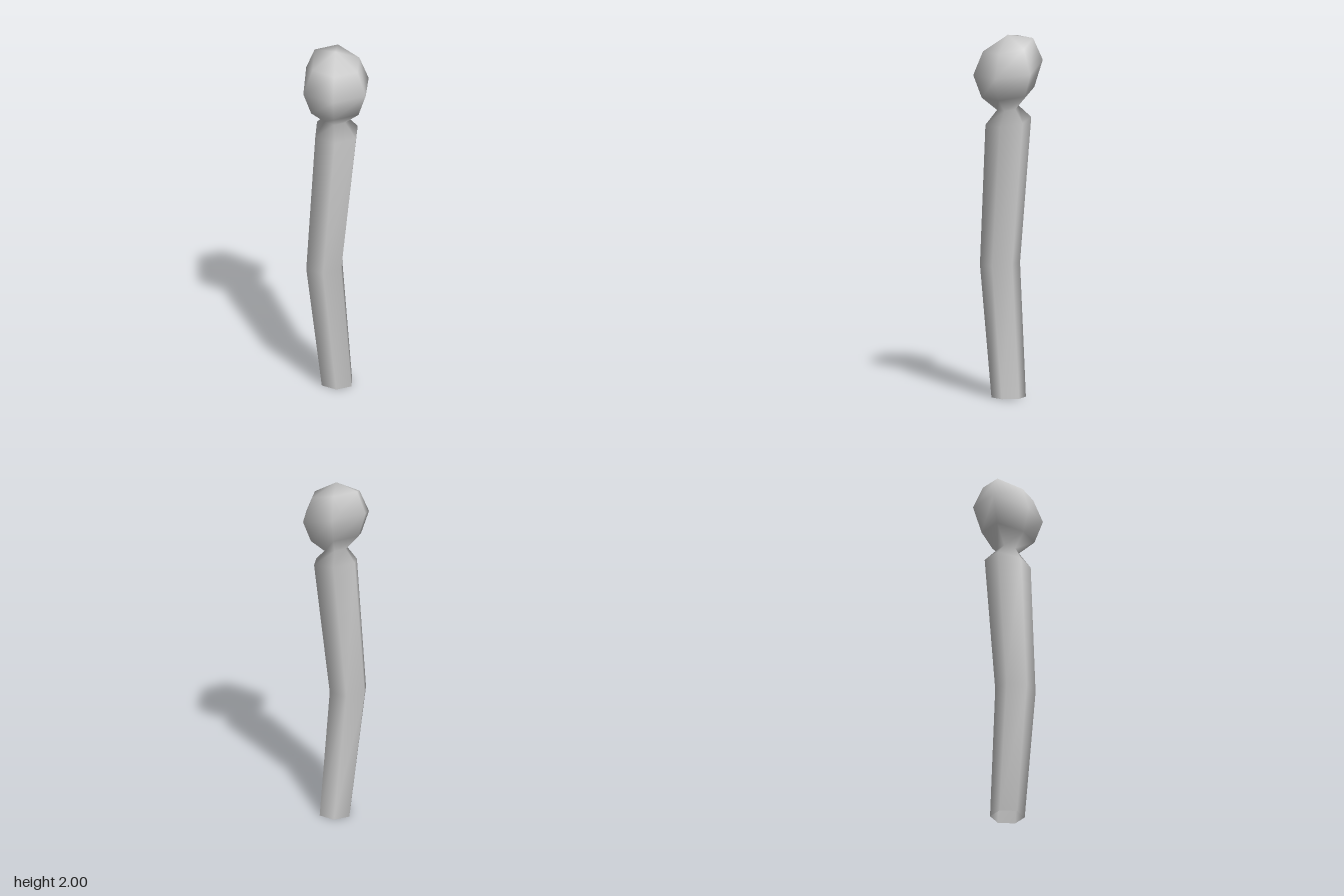
import * as THREE from 'three';

const SIDES = 6;

// Hexagonal rings from the foot up:
// [centre x, half width, half depth, y at left, y at right, y at front, y at back]
const rings = [
  [0.008, 0.093, 0.083, 0, 0, 0, 0],                    // foot
  [-0.07, 0.11, 0.096, 0.735, 0.725, 0.725, 0.735],     // bend
  [0.005, 0.13, 0.108, 1.525, 1.51, 1.505, 1.545],      // shoulder
  [0, 0.068, 0.048, 1.595, 1.592, 1.585, 1.61],         // neck
  [0.002, 0.152, 0.123, 1.675, 1.66, 1.655, 1.71],      // knob, lower
  [0.002, 0.2, 0.163, 1.8, 1.785, 1.78, 1.86],          // knob, widest
  [0.002, 0.143, 0.118, 1.935, 1.92, 1.91, 1.98],       // knob, upper
];

export function createModel() {
  const positions = [];
  const index = [];

  for (const [cx, halfW, halfD, yLeft, yRight, yFront, yBack] of rings) {
    const heights = [yLeft, yFront, yFront, yRight, yBack, yBack];
    for (let i = 0; i < SIDES; i++) {
      const a = (i / SIDES) * Math.PI * 2;
      const z = (Math.sin(a) / Math.sin(Math.PI / 3)) * halfD;
      positions.push(cx + Math.cos(a) * halfW, heights[i], z);
    }
  }
  const apex = positions.length / 3;
  positions.push(0, 2, 0);

  // Walls between rings, closed at the crown and open at the foot
  for (let r = 0; r < rings.length; r++) {
    for (let i = 0; i < SIDES; i++) {
      const p = r * SIDES + i;
      const q = r * SIDES + ((i + 1) % SIDES);
      if (r === rings.length - 1) index.push(p, apex, q);
      else index.push(p, p + SIDES, q, q, p + SIDES, q + SIDES);
    }
  }

  const geometry = new THREE.BufferGeometry();
  geometry.setAttribute('position', new THREE.Float32BufferAttribute(positions, 3));
  geometry.setIndex(index);
  geometry.computeVertexNormals();

  const stalk = new THREE.Mesh(
    geometry,
    new THREE.MeshStandardMaterial({ color: 0xcccccc, side: THREE.DoubleSide })
  );
  stalk.name = 'bentStalkWithKnob';

  const model = new THREE.Group();
  model.name = 'knobbedStalk';
  model.add(stalk);
  return model;
}
